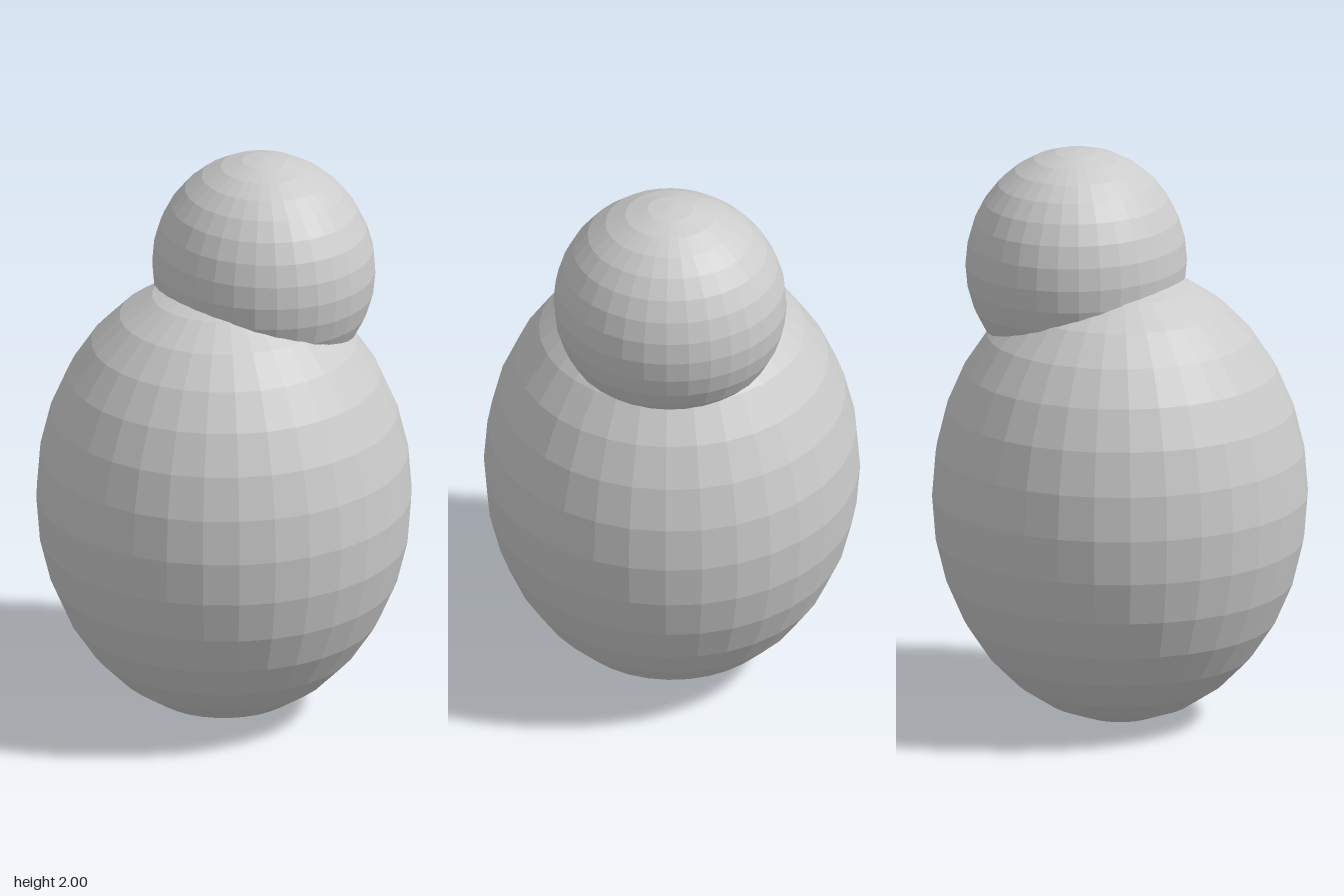
import * as THREE from 'three';

export function createModel() {
  const model = new THREE.Group();
  const material = new THREE.MeshStandardMaterial({ color: 0xcccccc, flatShading: true });

  // Faceted ellipsoid given by its centre and its three radii
  function ellipsoid(name, [x, y, z], [rx, ry, rz]) {
    const geometry = new THREE.SphereGeometry(1, 32, 16);
    geometry.scale(rx, ry, rz);
    const mesh = new THREE.Mesh(geometry, material);
    mesh.name = name;
    mesh.position.set(x, y, z);
    model.add(mesh);
  }

  // Upright egg-shaped body
  ellipsoid('body', [0, 0.8, 0], [0.648, 0.8, 0.648]);
  // Rounded head, set back and sunk into the top of the body
  ellipsoid('head', [0, 1.6, -0.175], [0.402, 0.4, 0.374]);

  return model;
}
